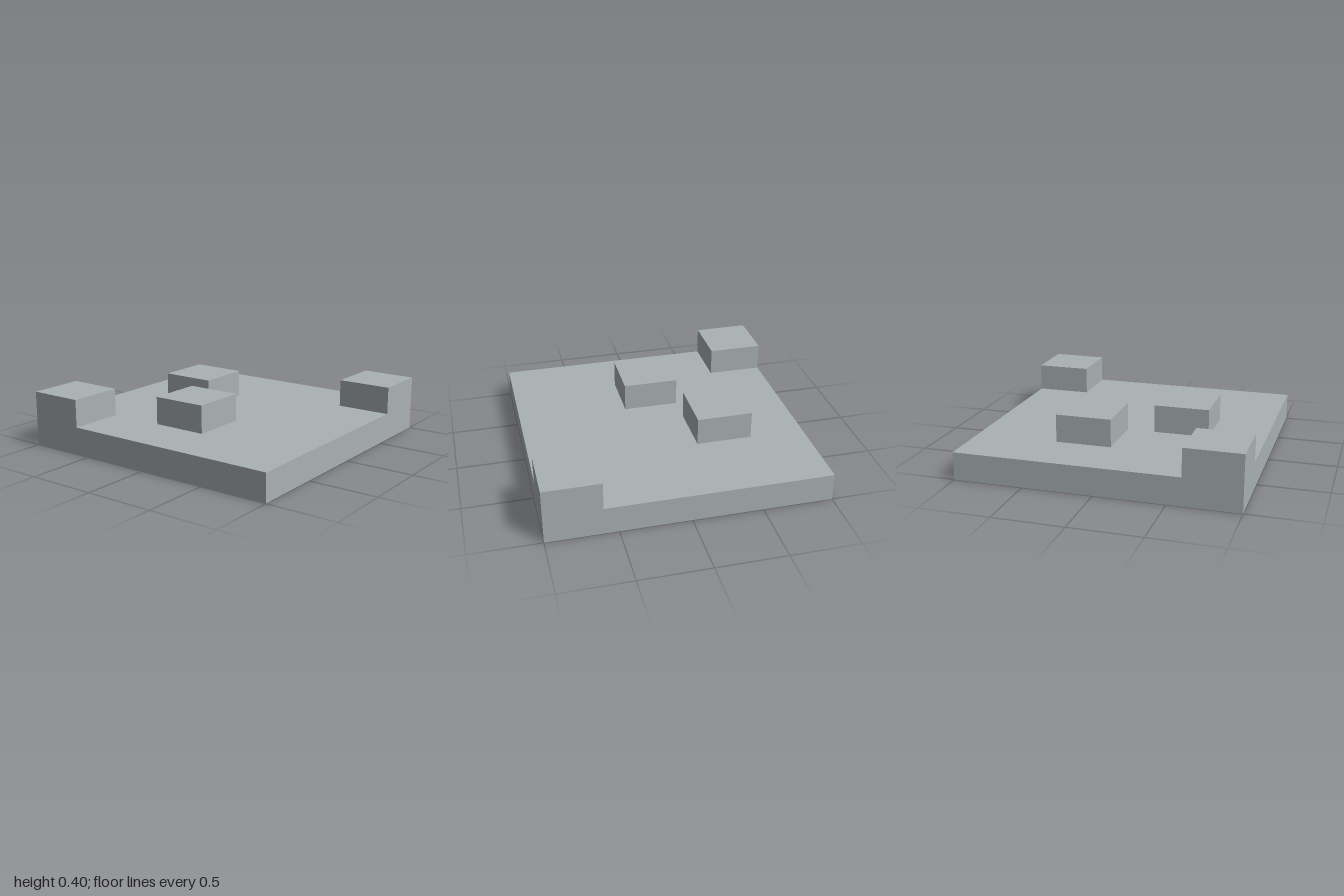
import * as THREE from 'three';

const BLOCK = 0.4, STEP = 0.2;

// Box shell with chosen faces left out (0 +x, 1 -x, 2 +y, 3 -y, 4 +z, 5 -z)
function openBox(w, h, d, missing) {
  const geometry = new THREE.BoxGeometry(w, h, d);
  const index = Array.from(geometry.index.array);
  geometry.setIndex(index.filter((_, i) => !missing.includes(Math.floor(i / 6))));
  geometry.clearGroups();
  return geometry;
}

export function createModel() {
  const model = new THREE.Group();
  model.name = 'hollowPlateWithBlocks';
  const grey = new THREE.MeshStandardMaterial({ color: 0xaab2b4, side: THREE.DoubleSide });
  grey.name = 'grey';

  const add = (name, geometry, x, y, z) => {
    const mesh = new THREE.Mesh(geometry, grey);
    mesh.name = name;
    mesh.position.set(x, y, z);
    model.add(mesh);
  };

  // Skirt around the edge, open above and below
  add('plateSkirt', openBox(2, STEP, 2, [2, 3]), 0, STEP / 2, 0);

  // Deck sheet, with two corners cut out and two square holes under the blocks
  const deck = new THREE.Shape([
    [-1, -1], [0.6, -1], [0.6, -0.6], [1, -0.6],
    [1, 1], [-0.6, 1], [-0.6, 0.6], [-1, 0.6],
  ].map(([x, y]) => new THREE.Vector2(x, y)));
  const r = BLOCK / 2;
  const innerBlocks = [[-0.4, 0], [0.2, -0.4]];
  for (const [x, z] of innerBlocks) {
    deck.holes.push(new THREE.Path([[-r, -r], [-r, r], [r, r], [r, -r]]
      .map(([dx, dy]) => new THREE.Vector2(x + dx, -z + dy))));
  }
  add('deck', new THREE.ShapeGeometry(deck).rotateX(-Math.PI / 2), 0, STEP, 0);

  // Hollow raised blocks, open below
  for (const [x, z] of innerBlocks) {
    add('innerBlock', openBox(BLOCK, STEP, BLOCK, [3]), x, STEP * 1.5, z);
  }
  for (const s of [-1, 1]) {
    add('cornerBlock', openBox(BLOCK, STEP, BLOCK, [3]), s * 0.8, STEP * 1.5, s * 0.8);
  }
  return model;
}
